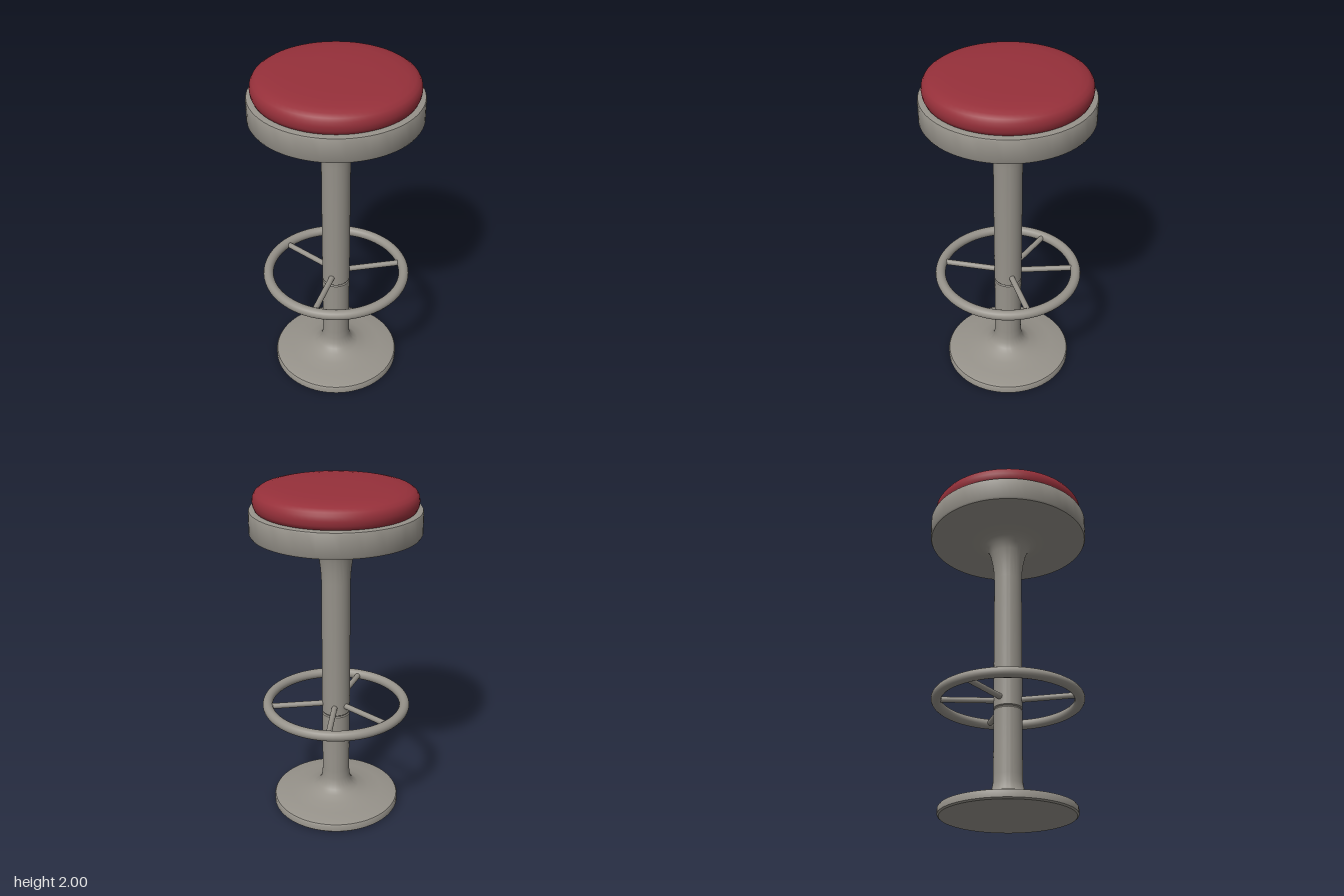
import * as THREE from 'three';
import { toCreasedNormals } from 'three/addons/utils/BufferGeometryUtils.js';

const metal = new THREE.MeshStandardMaterial({ color: 0x96928a });
metal.name = 'warm grey metal';
const leather = new THREE.MeshStandardMaterial({ color: 0x96303a });
leather.name = 'dark red leather';

// Turned part from [radius, height] pairs, listed bottom to top
function turned(name, profile, material) {
  const points = profile.map(([r, y]) => new THREE.Vector2(r, y));
  const geometry = toCreasedNormals(new THREE.LatheGeometry(points, 72), 0.6);
  const mesh = new THREE.Mesh(geometry, material);
  mesh.name = name;
  return mesh;
}

export function createModel() {
  const stool = new THREE.Group();
  stool.name = 'barStool';

  // Flared foot running up into the lower column
  stool.add(turned('baseAndLowerColumn', [
    [0, 0], [0.375, 0], [0.384, 0.008], [0.384, 0.04], [0.378, 0.05], [0.36, 0.056],
    [0.28, 0.066], [0.2, 0.08], [0.14, 0.098], [0.11, 0.118], [0.092, 0.145], [0.084, 0.18],
    [0.082, 0.23], [0.082, 0.608], [0.077, 0.615], [0.077, 0.625],
  ], metal));

  // Upper column with its trumpet flare under the seat
  stool.add(turned('upperColumn', [
    [0.077, 0.618], [0.083, 0.624], [0.083, 1.45], [0.087, 1.52], [0.095, 1.58],
    [0.107, 1.63], [0.122, 1.67], [0.145, 1.698], [0.18, 1.715], [0.23, 1.724], [0.28, 1.728],
  ], metal));

  // Metal pan that holds the cushion
  stool.add(turned('seatPan', [
    [0, 1.727], [0.46, 1.727], [0.474, 1.731], [0.48, 1.742], [0.48, 1.86],
    [0.476, 1.869], [0.468, 1.872], [0.43, 1.872], [0, 1.872],
  ], metal));

  // Padded cushion
  stool.add(turned('cushion', [
    [0.43, 1.865], [0.445, 1.875], [0.454, 1.895], [0.457, 1.92], [0.453, 1.945],
    [0.442, 1.963], [0.42, 1.978], [0.38, 1.988], [0.32, 1.995], [0.2, 1.999], [0, 2],
  ], leather));

  // Foot rest: ring and four unevenly spaced spokes
  const footRest = new THREE.Group();
  footRest.name = 'footRest';
  footRest.position.y = 0.674;
  const ring = new THREE.Mesh(new THREE.TorusGeometry(0.41, 0.03, 16, 72), metal);
  ring.name = 'footRing';
  ring.rotation.x = Math.PI / 2;
  footRest.add(ring);
  for (const degrees of [15, 91, 144, 256]) {
    const pivot = new THREE.Group();
    pivot.name = 'spoke';
    pivot.rotation.y = THREE.MathUtils.degToRad(degrees);
    const rod = new THREE.Mesh(new THREE.CylinderGeometry(0.017, 0.017, 0.34, 14), metal);
    rod.name = 'spokeRod';
    rod.rotation.z = Math.PI / 2;
    rod.position.x = 0.235;
    pivot.add(rod);
    footRest.add(pivot);
  }
  stool.add(footRest);

  return stool;
}
